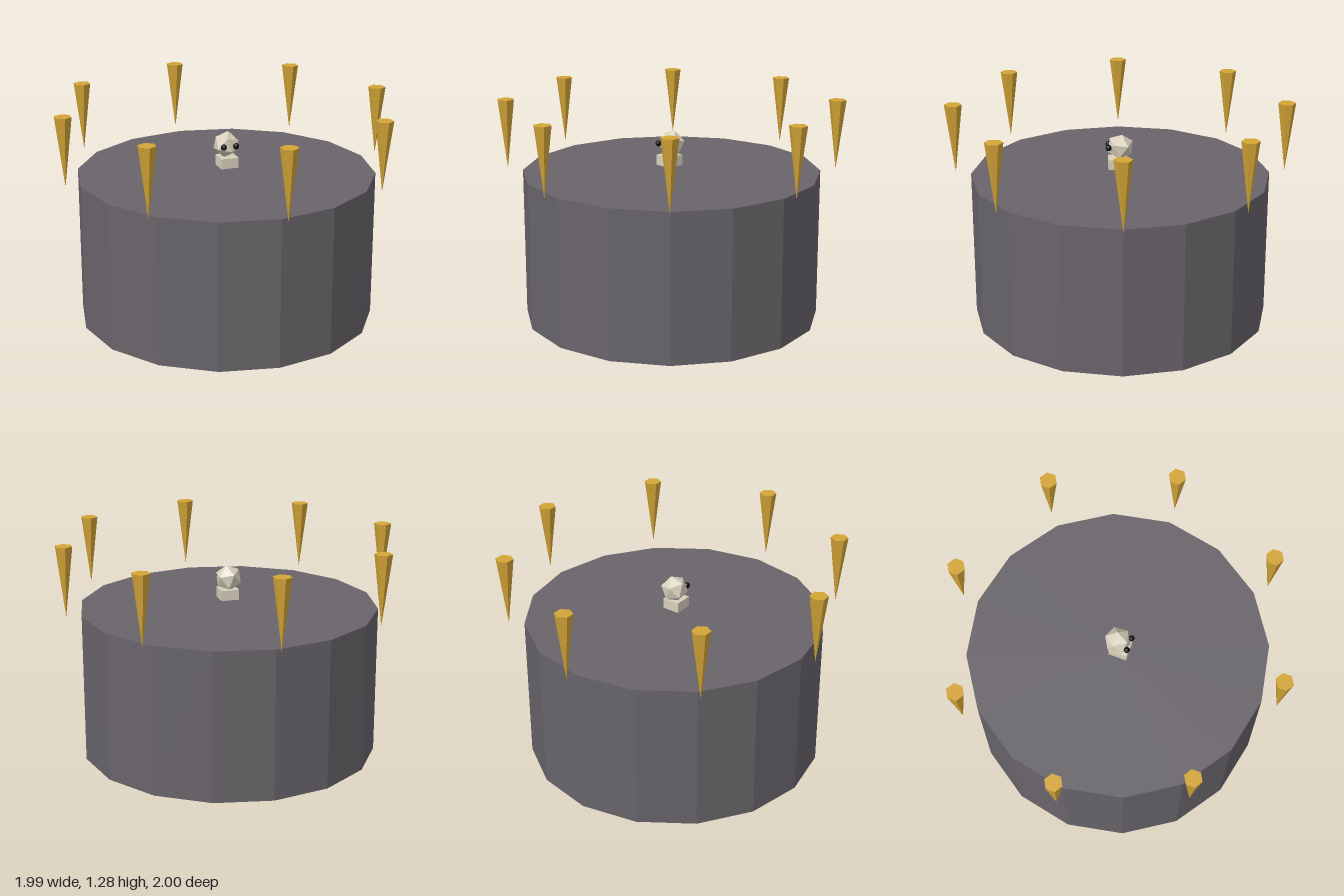
import * as THREE from 'three';

const mat = (color) => new THREE.MeshStandardMaterial({ color, flatShading: true });

export function createModel() {
  const model = new THREE.Group();
  const stone = mat(0x68646a);
  const gold = mat(0xd4a537);
  const bone = mat(0xd8d0bc);
  const black = mat(0x0a0a0a);

  const add = (parent, name, geometry, material, x, y, z) => {
    const mesh = new THREE.Mesh(geometry, material);
    mesh.name = name;
    mesh.position.set(x, y, z);
    parent.add(mesh);
    return mesh;
  };

  // Sixteen-sided drum that carries everything
  add(model, 'drum', new THREE.CylinderGeometry(0.862, 0.862, 0.862, 16), stone, 0, 0.431, 0);

  // Ring of floating spikes, points down
  const spikes = new THREE.Group();
  spikes.name = 'spikeRing';
  model.add(spikes);
  const spikeGeometry = new THREE.ConeGeometry(0.051, 0.405, 6).rotateX(Math.PI);
  for (let i = 0; i < 8; i++) {
    const a = (i * Math.PI) / 4;
    add(spikes, 'spike', spikeGeometry, gold, 0.949 * Math.cos(a), 1.076, 0.949 * Math.sin(a));
  }

  // Small skull floating over the centre
  const skull = new THREE.Group();
  skull.name = 'skull';
  model.add(skull);
  const cranium = add(skull, 'cranium', new THREE.IcosahedronGeometry(0.078, 0), bone, 0, 1.023, 0);
  cranium.rotation.set(-0.13, 0, 0.33);
  add(skull, 'jaw', new THREE.BoxGeometry(0.104, 0.06, 0.108), bone, 0, 0.927, 0.016);
  for (const side of [-1, 1]) {
    add(skull, 'eye', new THREE.SphereGeometry(0.018, 8, 6), black, side * 0.037, 1.026, 0.067);
  }

  return model;
}
